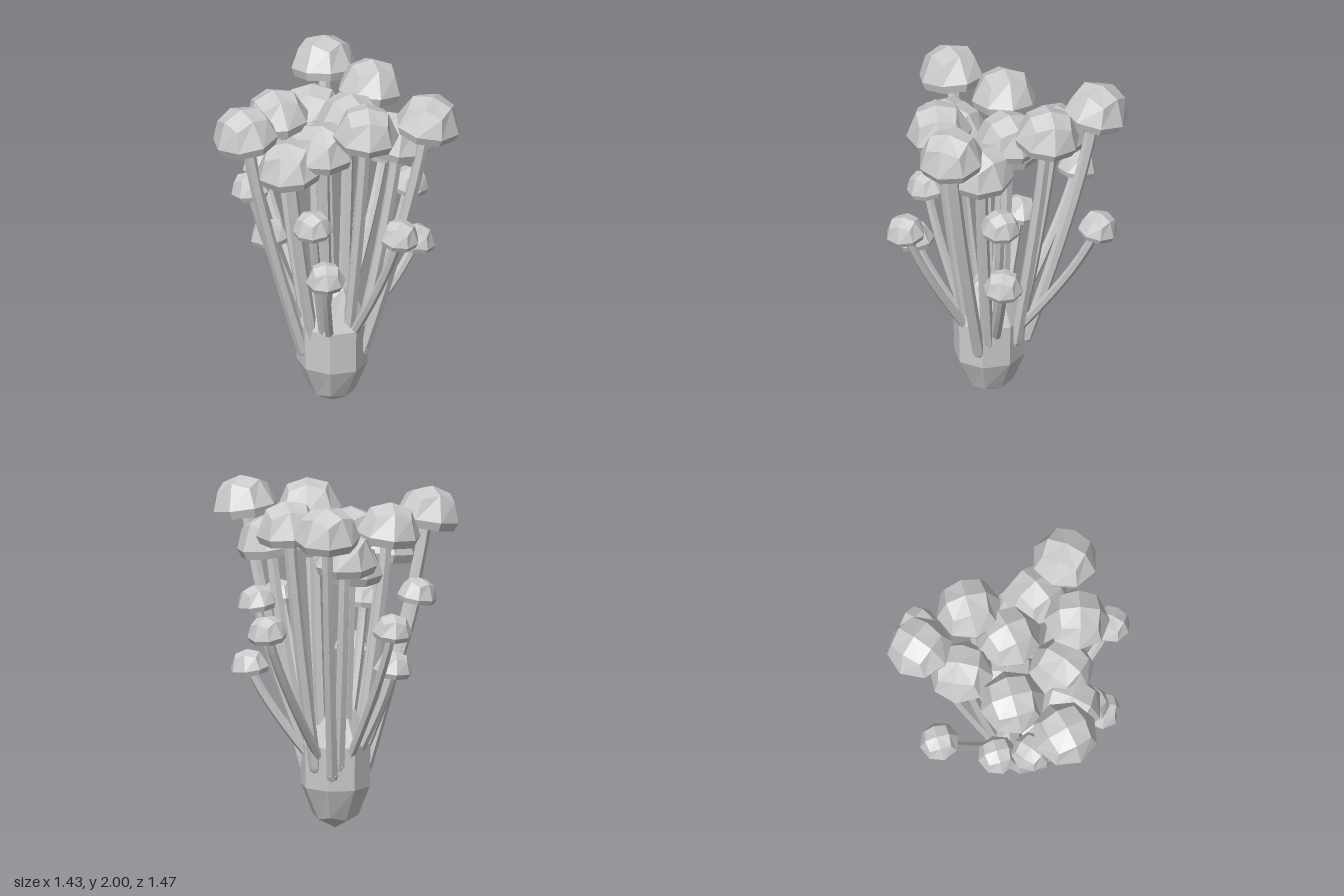
import * as THREE from 'three';

const SIDES = 8;
const material = new THREE.MeshStandardMaterial({ color: 0xcccccc, flatShading: true, side: THREE.DoubleSide });

// Faceted solid from 8-sided rings [cornerRadius, cornerY, midRadius, midY], closed by two poles
function ringSolid(bottomY, rings, topY) {
  const pos = [0, bottomY, 0], index = [];
  for (const [r1, y1, r2 = r1, y2 = y1] of rings) {
    for (let i = 0; i < SIDES; i++) {
      const a = (i / SIDES) * Math.PI * 2;
      const r = i % 2 ? r1 : r2;
      pos.push(Math.sin(a) * r, i % 2 ? y1 : y2, Math.cos(a) * r);
    }
  }
  const top = pos.length / 3;
  pos.push(0, topY, 0);
  for (let i = 0; i < SIDES; i++) {
    const j = (i + 1) % SIDES;
    index.push(0, 1 + j, 1 + i);
    for (let k = 0; k < rings.length - 1; k++) {
      const a = 1 + k * SIDES, b = a + SIDES;
      index.push(a + i, a + j, b + j, a + i, b + j, b + i);
    }
    const last = 1 + (rings.length - 1) * SIDES;
    index.push(last + i, last + j, top);
  }
  const geo = new THREE.BufferGeometry();
  geo.setAttribute('position', new THREE.Float32BufferAttribute(pos, 3));
  geo.setIndex(index);
  geo.computeVertexNormals();
  return geo;
}

// Unit cap: nearly flat underside, narrow bevelled rim, domed top
const CAP_HEIGHT = 1.22;
const capGeometry = ringSolid(0.04, [
  [0.9, 0],
  [1.0, 0.26],
  [0.78, 0.86, 0.62, 1.04],
], CAP_HEIGHT);

// Mushrooms: x, top height, z
const LARGE = [
  [-0.475, 2.0, -0.34], [-0.11, 1.975, -0.37], [0.495, 2.0, -0.285],
  [-0.01, 1.87, -0.13], [-0.33, 1.81, -0.135], [0.27, 1.81, -0.26],
  [0.34, 1.975, 0.04], [0.13, 1.83, 0.18], [-0.23, 1.92, 0.21],
  [0.055, 1.75, 0.36], [-0.11, 1.955, 0.545], [-0.12, 1.7, 0.03],
];
const SMALL = [
  [-0.285, 1.36, -0.62], [-0.6, 1.36, 0.015], [0.6, 1.34, 0.01],
  [0.22, 1.42, -0.38], [0.23, 1.05, -0.42], [0.22, 1.355, 0.33],
  [0.315, 1.06, 0.315], [-0.24, 1.46, 0.4], [-0.32, 1.07, 0.19],
];

function makeMushroom([x, topY, z], capRadius, stemRadius, maxStart, startLift, i) {
  const g = new THREE.Group();
  const d = Math.hypot(x, z), ux = x / d, uz = z / d;
  const baseY = topY - capRadius * CAP_HEIGHT;

  // Stem leaves the root outward and bends upright under the cap
  const r0 = Math.min(maxStart, 0.05 + 0.3 * d);
  const start = new THREE.Vector3(ux * r0, 0.62 - 1.45 * r0 + startLift, uz * r0);
  const end = new THREE.Vector3(x, baseY + capRadius * 0.2, z);
  const control = new THREE.Vector3(
    THREE.MathUtils.lerp(start.x, x, 0.79),
    THREE.MathUtils.lerp(start.y, end.y, 0.65),
    THREE.MathUtils.lerp(start.z, z, 0.79));
  const curve = new THREE.QuadraticBezierCurve3(start, control, end);
  const stem = new THREE.Mesh(new THREE.TubeGeometry(curve, 8, stemRadius, 6), material);
  stem.name = 'stem';

  // Rounded foot of the stem
  const foot = new THREE.Mesh(new THREE.SphereGeometry(stemRadius, 6, 4), material);
  foot.name = 'stemFoot';
  foot.position.copy(start);

  // Cap leans a little outward
  const cap = new THREE.Mesh(capGeometry, material);
  cap.name = 'cap';
  cap.scale.setScalar(capRadius);
  cap.position.set(x, baseY, z);
  const lean = 0.06 + 0.2 * d;
  cap.quaternion.setFromAxisAngle(new THREE.Vector3(uz, 0, -ux), lean);
  cap.rotateY(0.3 + i * 0.9);

  g.add(stem, foot, cap);
  return g;
}

export function createModel() {
  const model = new THREE.Group();
  model.name = 'mushroomCluster';

  // Bulbous root
  const root = new THREE.Mesh(ringSolid(0, [
    [0.14, 0.08, 0.12, 0.06],
    [0.21, 0.25],
    [0.215, 0.5],
    [0.13, 0.68, 0.1, 0.73],
  ], 0.77), material);
  root.name = 'root';
  root.position.set(0.012, 0, 0.012);
  root.scale.z = 0.94;
  model.add(root);

  LARGE.forEach((p, i) => {
    const m = makeMushroom(p, 0.19, 0.036, 0.19, 0, i);
    m.name = 'largeMushroom';
    model.add(m);
  });
  SMALL.forEach((p, i) => {
    const m = makeMushroom(p, 0.115, 0.027, 0.17, 0.08, i);
    m.name = 'smallMushroom';
    model.add(m);
  });
  return model;
}
